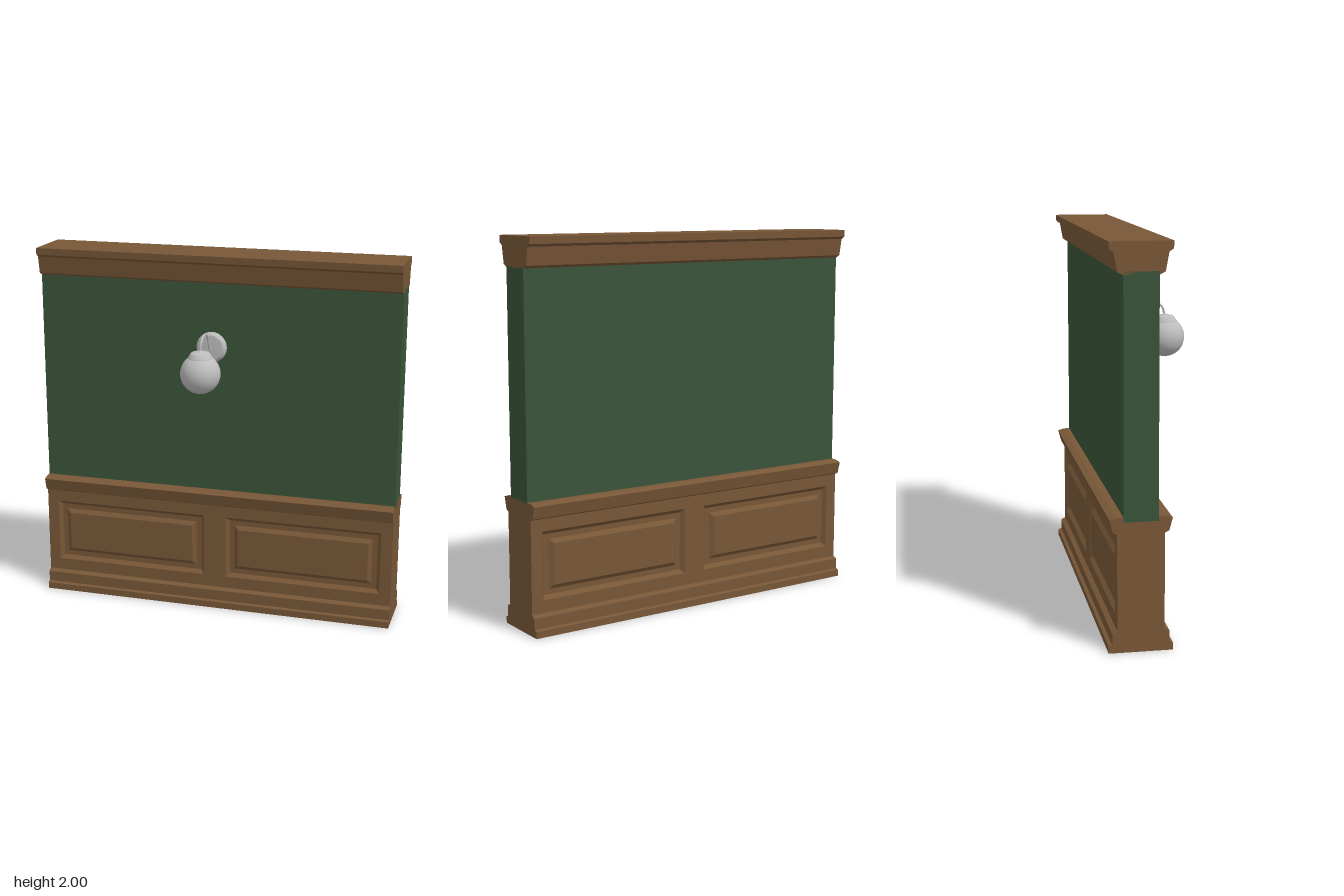
import * as THREE from 'three';

const WALL_Z = -0.125;
const wood = new THREE.MeshStandardMaterial({ name: 'brown wood', color: 0x785737 });
const paint = new THREE.MeshStandardMaterial({ name: 'green paint', color: 0x3a5439 });
const grey = new THREE.MeshStandardMaterial({ name: 'lamp grey', color: 0xbcbcbc });

function mesh(name, geometry, material, parent) {
  const m = new THREE.Mesh(geometry, material);
  m.name = name;
  parent.add(m);
  return m;
}

// Moulding: half profile of [half depth, height], mirrored front to back, run along x
function moulding(half) {
  const pts = [...half, ...half.slice().reverse().map(([d, y]) => [-d, y])];
  const shape = new THREE.Shape(pts.map(([d, y]) => new THREE.Vector2(d, y)));
  const g = new THREE.ExtrudeGeometry(shape, { depth: 2, bevelEnabled: false });
  return g.translate(0, 0, -1).rotateY(Math.PI / 2);
}

// Rectangular loops [half width, half height, z] from outside in, closed by the last one
function steppedPanel(loops) {
  const corners = loops.map(([w, h, z]) => [[-w, -h, z], [w, -h, z], [w, h, z], [-w, h, z]]);
  const pos = [];
  const quad = (a, b, c, d) => pos.push(...a, ...b, ...c, ...a, ...c, ...d);
  for (let i = 0; i < corners.length - 1; i++) {
    for (let k = 0; k < 4; k++) {
      const n = (k + 1) % 4;
      quad(corners[i][k], corners[i][n], corners[i + 1][n], corners[i + 1][k]);
    }
  }
  quad(...corners[corners.length - 1]);
  const g = new THREE.BufferGeometry();
  g.setAttribute('position', new THREE.Float32BufferAttribute(pos, 3));
  g.computeVertexNormals();
  return g;
}

function rectPath(PathType, x, y, w, h) {
  return new PathType([[-w, -h], [w, -h], [w, h], [-w, h]]
    .map(([a, b]) => new THREE.Vector2(x + a, y + b)));
}

// One face of the wainscot: a frame with two recessed, raised-field panels
function wainscotFace() {
  const face = new THREE.Group();
  const y = 0.357, w = 0.437, h = 0.178;
  const shape = rectPath(THREE.Shape, 0, 0.35, 1, 0.25);
  for (const x of [-0.5, 0.5]) shape.holes.push(rectPath(THREE.Path, x, y, w, h));
  const frame = new THREE.ExtrudeGeometry(shape, { depth: 0.03, bevelEnabled: false });
  mesh('panelFrame', frame.translate(0, 0, 0.087), wood, face);
  const panel = steppedPanel([
    [w, h, 0.117], [w - 0.02, h - 0.02, 0.097], [w - 0.048, h - 0.048, 0.097],
    [w - 0.07, h - 0.07, 0.114],
  ]);
  for (const x of [-0.5, 0.5]) mesh('raisedPanel', panel, wood, face).position.set(x, y, 0);
  return face;
}

function createLamp() {
  const lamp = new THREE.Group();
  lamp.name = 'wallLamp';
  lamp.position.x = -0.024;

  // Round back plate in two steps
  const plate = new THREE.LatheGeometry([
    [0.083, -0.042], [0.083, -0.026], [0.072, -0.022], [0.072, -0.014], [0.066, -0.009], [0, -0.009],
  ].map(([r, z]) => new THREE.Vector2(r, z)), 40);
  // Flat segments keep the steps crisp
  const plateMesh = mesh('backPlate', plate.rotateX(Math.PI / 2), grey, lamp);
  plateMesh.position.y = 1.498;

  // Swan-neck arm
  const arm = new THREE.CatmullRomCurve3([
    [1.498, -0.012], [1.5, 0.008], [1.525, 0.023], [1.562, 0.04], [1.589, 0.07],
    [1.596, 0.103], [1.588, 0.14], [1.562, 0.171], [1.515, 0.181],
  ].map(([y, z]) => new THREE.Vector3(0, y, z)));
  mesh('arm', new THREE.TubeGeometry(arm, 48, 0.006, 10), grey, lamp);

  // Holder over the globe
  const holder = new THREE.LatheGeometry([
    [0.066, 1.485], [0.066, 1.493], [0.06, 1.497], [0.055, 1.51], [0.045, 1.519], [0.012, 1.521],
    [0.009, 1.53], [0, 1.53],
  ].map(([r, y]) => new THREE.Vector2(r, y)), 32);
  mesh('globeHolder', holder, grey, lamp).position.z = 0.182;

  const globe = mesh('globe', new THREE.SphereGeometry(0.107, 40, 28), grey, lamp);
  globe.position.set(0, 1.404, 0.182);
  return lamp;
}

export function createModel() {
  const model = new THREE.Group();
  model.name = 'wallSection';
  const wall = new THREE.Group();
  wall.name = 'wall';
  wall.position.z = WALL_Z;
  model.add(wall);

  // Painted upper wall
  mesh('paintedWall', new THREE.BoxGeometry(2, 1.2, 0.172), paint, wall).position.y = 1.26;

  // Wooden mouldings
  mesh('cornice', moulding([
    [0.088, 1.845], [0.114, 1.858], [0.131, 1.95], [0.152, 1.963], [0.155, 2],
  ]), wood, wall);
  mesh('chairRail', moulding([
    [0.117, 0.6], [0.138, 0.61], [0.155, 0.674], [0.12, 0.685],
  ]), wood, wall);
  mesh('baseboard', moulding([
    [0.16, 0], [0.16, 0.036], [0.142, 0.042], [0.142, 0.1], [0.117, 0.112],
  ]), wood, wall);

  // Wainscot core with panelled faces on both sides
  mesh('wainscotCore', new THREE.BoxGeometry(2, 0.5, 0.174), wood, wall).position.y = 0.35;
  for (const [name, turn] of [['frontWainscot', 0], ['backWainscot', Math.PI]]) {
    const face = wainscotFace();
    face.name = name;
    face.rotation.y = turn;
    wall.add(face);
  }

  model.add(createLamp());
  return model;
}
